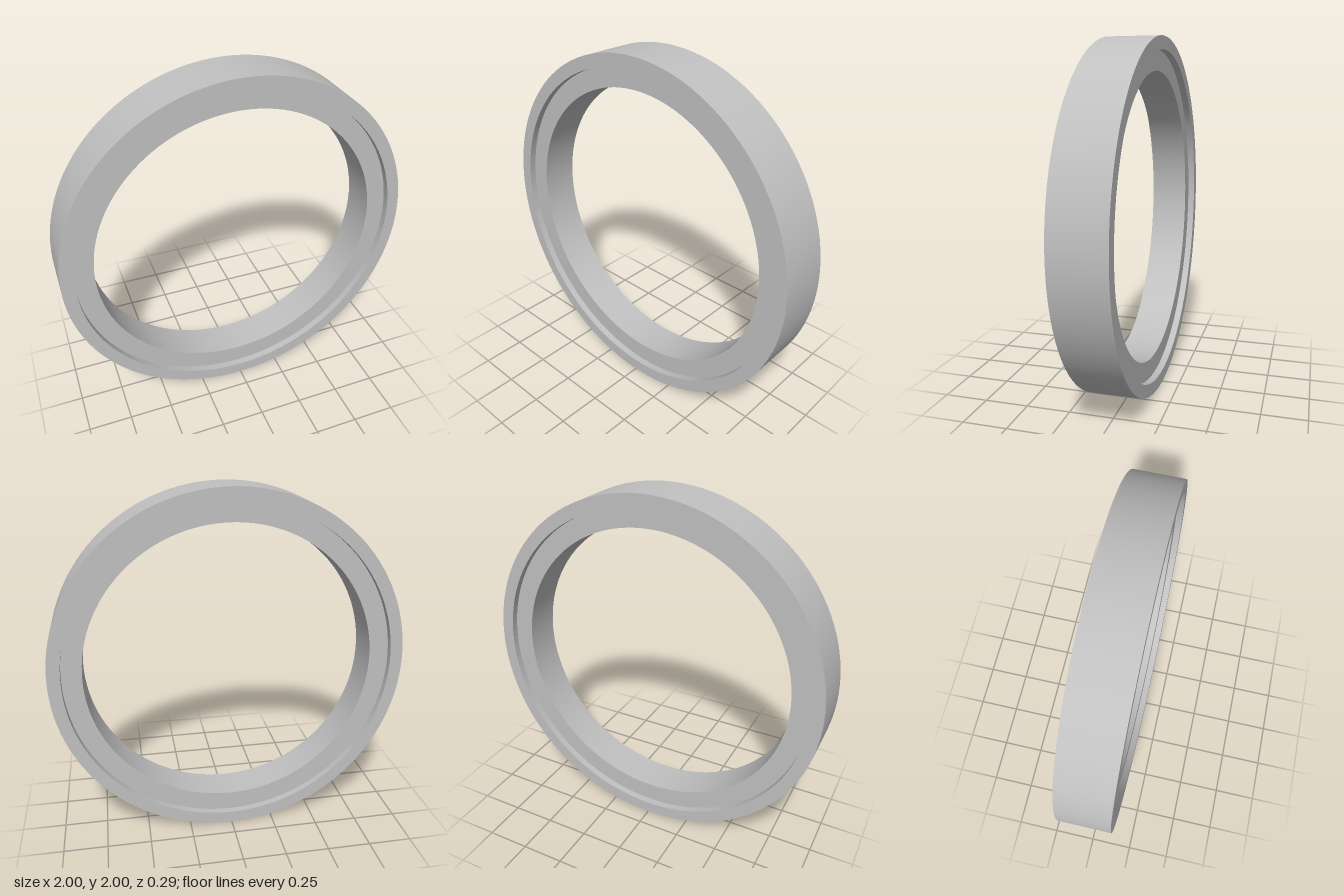
import * as THREE from 'three';
import { toCreasedNormals } from 'three/addons/utils/BufferGeometryUtils.js';

const OUTER = 1, STEP = 0.928, BORE = 0.816; // radii
const HALF = 0.147, INNER_HALF = 0.107; // half widths of rim and flange

// Revolves a profile of [radius, depth] points around the z axis
function revolve(name, profile, material) {
  const points = profile.map(([r, d]) => new THREE.Vector2(r, d));
  const geometry = toCreasedNormals(new THREE.LatheGeometry(points, 128), Math.PI / 6);
  geometry.rotateX(Math.PI / 2);
  const mesh = new THREE.Mesh(geometry, material);
  mesh.name = name;
  return mesh;
}

export function createModel() {
  const grey = new THREE.MeshStandardMaterial({ color: 0xc0c0c0 });
  grey.name = 'light grey';

  const ring = new THREE.Group();
  ring.name = 'steppedRing';

  // Wide outer rim, with a short lip standing above the flange on both sides
  ring.add(revolve('outerRim', [
    [STEP, -INNER_HALF], [STEP, -HALF], [OUTER, -HALF],
    [OUTER, HALF], [STEP, HALF], [STEP, INNER_HALF],
  ], grey));

  // Narrower inner flange, recessed on both sides, around the open bore
  ring.add(revolve('innerFlange', [
    [STEP, INNER_HALF], [BORE, INNER_HALF], [BORE, -INNER_HALF], [STEP, -INNER_HALF],
  ], grey));

  ring.position.y = OUTER;
  const model = new THREE.Group();
  model.name = 'ringModel';
  model.add(ring);
  return model;
}
